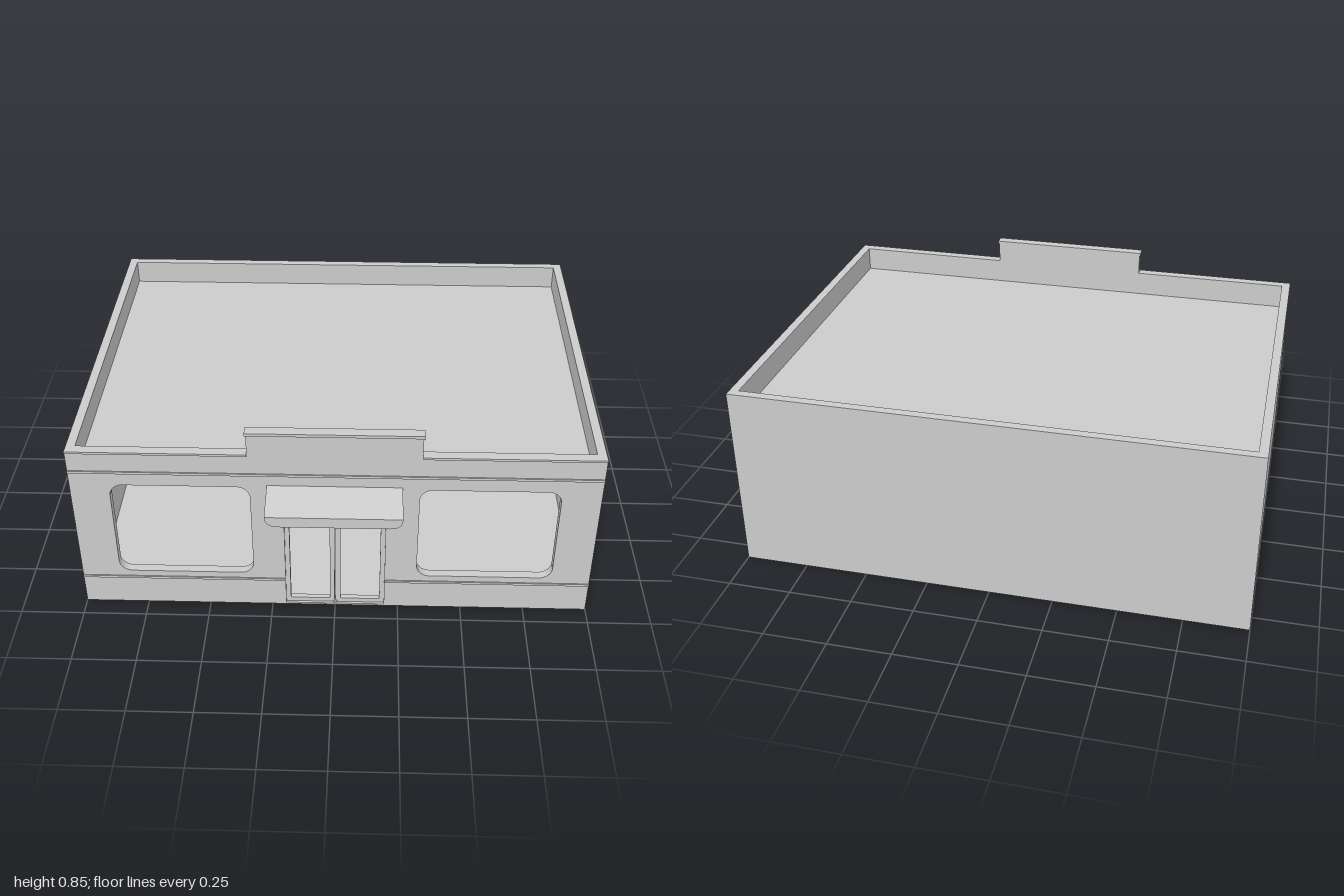
import * as THREE from 'three';

const W = 1, FRONT = 0.675, BACK = -0.825, T = 0.035, TOP = 0.75, ROOF = 0.65;

export function createModel() {
  const model = new THREE.Group();
  const mat = new THREE.MeshStandardMaterial({ color: 0xcccccc });
  const sheetMat = new THREE.MeshStandardMaterial({ color: 0xcccccc, side: THREE.DoubleSide });

  const add = (name, geometry, parent = model, material = mat) => {
    const mesh = new THREE.Mesh(geometry, material);
    mesh.name = name;
    parent.add(mesh);
    return mesh;
  };
  // Box given by its minimum and maximum corners
  const box = (name, x0, x1, y0, y1, z0, z1, parent) => {
    const mesh = add(name, new THREE.BoxGeometry(x1 - x0, y1 - y0, z1 - z0), parent);
    mesh.position.set((x0 + x1) / 2, (y0 + y1) / 2, (z0 + z1) / 2);
    return mesh;
  };
  const roundedRect = (x0, x1, y0, y1, r) => {
    const p = new THREE.Path();
    p.absarc(x1 - r, y0 + r, r, -Math.PI / 2, 0);
    p.absarc(x1 - r, y1 - r, r, 0, Math.PI / 2);
    p.absarc(x0 + r, y1 - r, r, Math.PI / 2, Math.PI);
    p.absarc(x0 + r, y0 + r, r, Math.PI, Math.PI * 1.5);
    p.closePath();
    return p;
  };
  const shapeFrom = (pts) => new THREE.Shape(pts.map(([x, y]) => new THREE.Vector2(x, y)));

  // Front wall with raised sign panel, door notch and two rounded windows
  const front = shapeFrom([
    [-W, 0], [-0.2, 0], [-0.2, 0.5], [0.2, 0.5], [0.2, 0], [W, 0], [W, TOP],
    [0.325, TOP], [0.325, 0.845], [-0.325, 0.845], [-0.325, TOP], [-W, TOP],
  ]);
  front.holes.push(roundedRect(-0.85, -0.32, 0.165, 0.595, 0.05));
  front.holes.push(roundedRect(0.32, 0.85, 0.165, 0.595, 0.05));
  add('frontWall', new THREE.ExtrudeGeometry(front, { depth: T, bevelEnabled: false, curveSegments: 8 }))
    .position.z = FRONT - T;

  // Side and back walls, floor and sunken roof
  for (const s of [-1, 1]) {
    const x = s * (W - T / 2);
    box(s > 0 ? 'leftWall' : 'rightWall', x - T / 2, x + T / 2, 0, TOP, BACK, FRONT - T);
  }
  box('backWall', -W + T, W - T, 0, TOP, BACK, BACK + T);
  box('floor', -W + T, W - T, 0, 0.015, BACK + T, FRONT - T);
  box('roof', -W + T, W - T, ROOF - 0.02, ROOF, BACK + T, FRONT - T);

  // Fine mouldings across the front
  const lip = 0.005;
  for (const s of [-1, 1]) {
    const [a, b] = s > 0 ? [0.2, W] : [-W, -0.2];
    box('lowerMoulding', a, b, 0.128, 0.138, FRONT, FRONT + lip);
    const [c, d] = s > 0 ? [0.325, W] : [-W, -0.325];
    box('parapetMoulding', c, d, 0.741, TOP, FRONT, FRONT + lip);
  }
  box('upperMoulding', -W, W, 0.65, 0.66, FRONT, FRONT + lip);
  box('signCap', -0.33, 0.33, 0.835, 0.847, FRONT - T - 0.002, FRONT + lip);

  // Double doors: thin outer frame and two open-paned leaves
  const doors = new THREE.Group();
  doors.name = 'doors';
  model.add(doors);
  const frame = shapeFrom([[-0.2, 0], [0.2, 0], [0.2, 0.5], [-0.2, 0.5]]);
  frame.holes.push(shapeFrom([[-0.195, 0.008], [-0.195, 0.493], [0.195, 0.493], [0.195, 0.008]]));
  add('doorFrame', new THREE.ExtrudeGeometry(frame, { depth: T, bevelEnabled: false }), doors)
    .position.z = FRONT - T;
  for (const s of [-1, 1]) {
    const rect = (x0, x1, y0, y1) => shapeFrom([[x0, y0], [x1, y0], [x1, y1], [x0, y1]]);
    const leaf = rect(-0.0965, 0.0965, 0.008, 0.493);
    leaf.holes.push(rect(-0.078, 0.078, 0.027, 0.482));
    add('doorLeaf', new THREE.ExtrudeGeometry(leaf, { depth: 0.02, bevelEnabled: false }), doors)
      .position.set(s * 0.0985, 0, FRONT - T + 0.005);
  }
  // Pivots where the leaves meet
  for (const y of [0.01, 0.492]) {
    const pivot = add('doorPivot', new THREE.CylinderGeometry(0.008, 0.008, 0.012, 16), doors);
    pivot.rotation.x = Math.PI / 2;
    pivot.position.set(0, y, FRONT - 0.012);
  }

  // Sheet awning: sloped top and a hanging valance with rounded lower corners
  const awning = new THREE.Group();
  awning.name = 'awning';
  model.add(awning);
  const hw = 0.255, edgeZ = 0.825, edgeY = 0.575, backY = 0.605;
  const slope = new THREE.PlaneGeometry(hw * 2, Math.hypot(edgeZ - FRONT, backY - edgeY));
  const top = add('awningTop', slope, awning, sheetMat);
  top.rotation.x = -Math.atan2(edgeZ - FRONT, backY - edgeY);
  top.position.set(0, (edgeY + backY) / 2, (FRONT + edgeZ) / 2);
  const valance = new THREE.Shape();
  valance.moveTo(-hw, edgeY);
  valance.quadraticCurveTo(-hw, 0.53, -hw + 0.05, 0.53);
  valance.lineTo(hw - 0.05, 0.53);
  valance.quadraticCurveTo(hw, 0.53, hw, edgeY);
  add('awningValance', new THREE.ShapeGeometry(valance), awning, sheetMat).position.z = edgeZ;

  return model;
}
